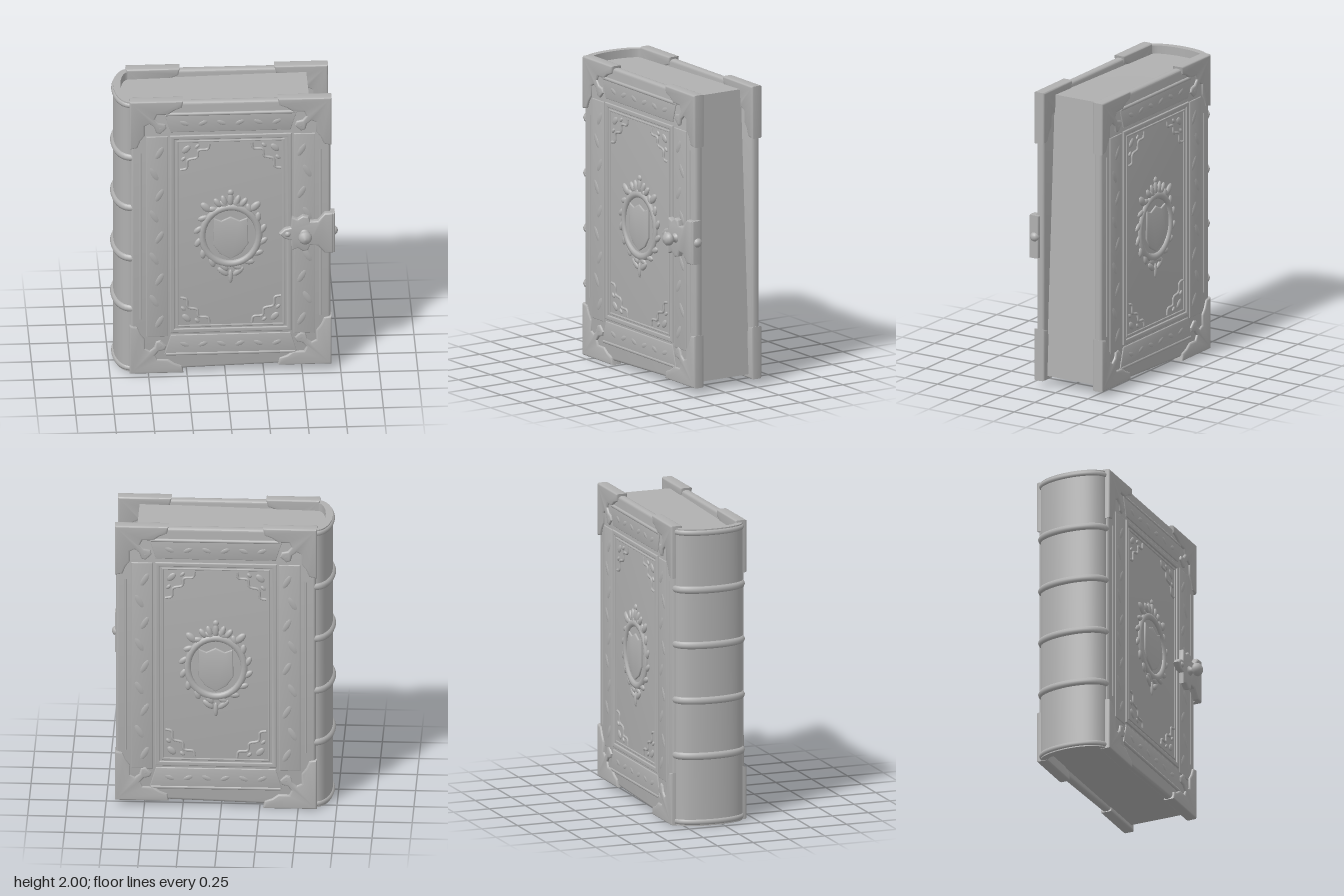
import * as THREE from 'three';
import { toCreasedNormals } from 'three/addons/utils/BufferGeometryUtils.js';

const leather = new THREE.MeshStandardMaterial({ color: 0xb0b0b0 });
leather.name = 'plain grey';

function add(parent, name, geometry) {
  const mesh = new THREE.Mesh(geometry, leather);
  mesh.name = name;
  parent.add(mesh);
  return mesh;
}

const vecs = (pts) => pts.map(([x, y]) => new THREE.Vector2(x, y));

// Plate with rounded edges between z0 and z1; optional hole outline
function plate(pts, z0, z1, bevel, hole) {
  const shape = new THREE.Shape(vecs(pts));
  if (hole) shape.holes.push(new THREE.Path(vecs(hole)));
  const g = new THREE.ExtrudeGeometry(shape, {
    depth: z1 - z0 - 2 * bevel, bevelThickness: bevel, bevelSize: bevel,
    bevelOffset: -bevel, bevelSegments: 3, curveSegments: 8,
  });
  g.translate(0, 0, z0 + bevel);
  return toCreasedNormals(g, 0.7);
}

const rect = (x0, y0, x1, y1) => [[x0, y0], [x1, y0], [x1, y1], [x0, y1]];

function frame(parent, name, x, y0, y1, w, z1) {
  add(parent, name, plate(rect(-x, y0, x, y1), 0.05, z1, 0.006,
    rect(-x + w, y0 + w, x - w, y1 - w)));
}

function tube(parent, name, pts, r) {
  const curve = new THREE.CatmullRomCurve3(pts.map((p) => new THREE.Vector3(...p)));
  add(parent, name, new THREE.TubeGeometry(curve, 28, r, 8));
}

// Flattened ornamental bump on the cover face
function bump(parent, name, x, y, rx, ry, angle = 0, rz = 0.013) {
  const m = add(parent, name, new THREE.SphereGeometry(1, 14, 8));
  m.position.set(x, y, 0.06);
  m.scale.set(rx, ry, rz);
  m.rotation.z = angle;
}

// Corner fitting, measured inward from the corner point
const half = [[0.35, 0], [0.34, 0.05], [0.29, 0.07], [0.25, 0.1], [0.18, 0.1], [0.165, 0.13], [0.19, 0.16], [0.23, 0.17], [0.24, 0.2]];
const cornerOutline = [[0, 0], ...half, ...half.map(([a, b]) => [b, a]).reverse()];

function makeMedallion(cover) {
  const g = new THREE.Group();
  g.name = 'medallion';
  g.position.y = 1;
  cover.add(g);
  const ring = add(g, 'medallionRing', new THREE.TorusGeometry(0.185, 0.022, 8, 40));
  ring.position.z = 0.06;
  ring.scale.set(1, 1.12, 0.75);
  const shield = [[-0.11, 0.13], [-0.06, 0.11], [0, 0.14], [0.06, 0.11], [0.11, 0.13], [0.115, -0.06], [0.07, -0.13], [0, -0.17], [-0.07, -0.13], [-0.115, -0.06]];
  add(g, 'shield', plate(shield, 0.05, 0.071, 0.007));
  // scroll leaves around the ring
  for (let i = 0; i < 16; i++) {
    const a = (i + 0.5) / 16 * Math.PI * 2;
    bump(g, 'scrollLeaf', 0.215 * Math.cos(a), 0.235 * Math.sin(a), 0.036, 0.02, a + 0.9, 0.014);
  }
  // crown and lower tip
  for (const k of [-2, -1, 0, 1, 2])
    bump(g, 'crownLeaf', k * 0.042, 0.265 - Math.abs(k) * 0.012, 0.02, 0.05 - Math.abs(k) * 0.006, -k * 0.3, 0.016);
  bump(g, 'crownTip', 0, 0.315, 0.02, 0.022);
  for (const s of [-1, 1]) {
    bump(g, 'upperScroll', s * 0.16, 0.21, 0.045, 0.025, s * 0.8, 0.016);
    bump(g, 'lowerLeaf', s * 0.05, -0.265, 0.045, 0.02, s * 0.7, 0.014);
  }
  bump(g, 'lowerTip', 0, -0.3, 0.016, 0.05);
}

// Cover board facing +z; slope tells which side has the higher lower edge
function makeCover(name, slope) {
  const cover = new THREE.Group();
  cover.name = name;
  const W = 0.65;
  const bottom = (x) => 0.03 + slope * 0.02 * x / W;
  add(cover, 'board', plate([[-W, bottom(-W) + 0.008], [W, bottom(W) + 0.008], [W, 1.985], [-W, 1.985]], 0.002, 0.06, 0.02));

  // corner fittings
  for (const sx of [-1, 1]) for (const top of [false, true]) {
    const x0 = sx * 0.657, y0 = top ? 2 : bottom(sx * W) - 0.008, sy = top ? -1 : 1;
    add(cover, 'cornerFitting', plate(cornerOutline.map(([a, b]) => [x0 - sx * a, y0 + sy * b]), -0.004, 0.073, 0.012));
    bump(cover, 'cornerStud', x0 - sx * 0.2, y0 + sy * 0.2, 0.03, 0.03, 0, 0.014);
  }

  // side and end bands with scroll relief
  for (const s of [-1, 1]) {
    const side = [[0.41, 0.27], [0.55, 0.27], [0.55, 1.74], [0.41, 1.74]].map(([x, y]) => [s * x, y]);
    add(cover, 'sideBand', plate(side, 0.05, 0.066, 0.005));
    for (let i = 0; i < 9; i++)
      bump(cover, 'bandScroll', s * (0.48 + (i % 2 ? 0.018 : -0.018)), 0.38 + i * 0.155, 0.024, 0.062, (i % 2 ? 1 : -1) * 0.5, 0.0105);
    tube(cover, 'hingeBead', [[s * 0.585, 0.4, 0.058], [s * 0.585, 1, 0.058], [s * 0.585, 1.62, 0.058]], 0.008);
  }
  for (const [inner, outer] of [[1.77, 1.9], [0.28, 0.14]]) {
    add(cover, 'endBand', plate([[-0.39, inner], [0.39, inner], [0.43, outer], [-0.43, outer]], 0.05, 0.067, 0.005));
    tube(cover, 'endBead', [[-0.42, outer, 0.06], [0, outer, 0.06], [0.42, outer, 0.06]], 0.012);
    for (let i = 0; i < 6; i++)
      bump(cover, 'bandScroll', -0.3 + i * 0.12, (inner + outer) / 2, 0.045, 0.02, i % 2 ? 0.4 : -0.4, 0.0105);
  }

  // nested mouldings around the centre panel
  frame(cover, 'outerMoulding', 0.395, 0.295, 1.745, 0.03, 0.07);
  frame(cover, 'innerMoulding', 0.352, 0.335, 1.705, 0.014, 0.066);

  // curled ornaments in the panel corners
  for (const sx of [-1, 1]) for (const top of [false, true]) {
    const y0 = top ? 1.69 : 0.35, sy = top ? -1 : 1;
    const at = (a, b) => [sx * (0.338 - a), y0 + sy * b, 0.06];
    tube(cover, 'cornerScroll', [at(0.2, 0.01), at(0.19, 0.05), at(0.13, 0.06), at(0.12, 0.11), at(0.06, 0.13), at(0.05, 0.19), at(0.01, 0.2)], 0.009);
    for (const [a, b, r] of [[0.05, 0.05, 0.035], [0.12, 0.03, 0.02], [0.03, 0.12, 0.02]]) {
      const p = at(a, b);
      bump(cover, 'cornerLeaf', p[0], p[1], r, r * 0.6, sx * sy * 0.8, 0.009);
    }
  }
  makeMedallion(cover);
  return cover;
}

// Horizontal outline in (x, z) raised from y0 to y1
function upright(pts, y0, y1) {
  const shape = new THREE.Shape(vecs(pts.map(([x, z]) => [x, -z])));
  const g = new THREE.ExtrudeGeometry(shape, { depth: y1 - y0, bevelEnabled: false });
  g.rotateX(-Math.PI / 2);
  g.translate(0, y0, 0);
  return g;
}

// Rounded back, with depth and half-width
const MID = -0.06;
function backArc(x0, depth, halfWidth) {
  const pts = [];
  for (let i = 0; i <= 20; i++) {
    const a = (i / 20 - 0.5) * Math.PI;
    pts.push([x0 - depth * Math.pow(Math.cos(a), 0.9), MID + halfWidth * Math.sin(a)]);
  }
  return pts;
}

function makeClasp() {
  const clasp = new THREE.Group();
  clasp.name = 'clasp';
  const edge = [[0.35, 0], [0.385, 0.035], [0.425, 0.045], [0.43, 0.12], [0.47, 0.105], [0.505, 0.13], [0.54, 0.12], [0.55, 0.085], [0.6, 0.09], [0.645, 0.145], [0.7, 0.145]];
  const outline = [...edge, ...edge.slice(1).reverse().map(([x, y]) => [x, -y])];
  add(clasp, 'claspPlate', plate(outline, 0.19, 0.235, 0.01));
  add(clasp, 'claspReturn', plate(rect(0.68, -0.145, 0.712, 0.145), 0.16, 0.23, 0.01));
  const stem = [[0, 0.225], [0.038, 0.225], [0.03, 0.24], [0.019, 0.25], [0.02, 0.262], [0.038, 0.272], [0.045, 0.287], [0.04, 0.306], [0.024, 0.321], [0, 0.326]];
  const knob = add(clasp, 'claspKnob', new THREE.LatheGeometry(vecs(stem), 24));
  knob.rotation.x = Math.PI / 2;
  knob.position.x = 0.515;
  const ball = add(clasp, 'claspEndBall', new THREE.SphereGeometry(0.033, 16, 12));
  ball.position.set(0.7, 0, 0.19);
  const bead = add(clasp, 'claspBead', new THREE.SphereGeometry(0.022, 14, 10));
  bead.position.set(0.405, 0, 0.225);
  clasp.position.y = 1.02;
  return clasp;
}

export function createModel() {
  const book = new THREE.Group();
  book.name = 'book';

  const front = makeCover('frontCover', 1);
  front.position.set(0.035, 0, 0.131);
  const back = makeCover('backCover', -1);
  back.rotation.y = Math.PI;
  back.position.set(0.035, 0, -0.251);
  book.add(front, back);

  // page block: fore edge leans outward toward the bottom
  const pages = upright([...backArc(-0.6, 0.07, 0.195), [0.55, 0.135], [0.55, -0.255]], 0.07, 1.955);
  const p = pages.attributes.position;
  for (let i = 0; i < p.count; i++) {
    if (p.getX(i) > 0.5) p.setX(i, 0.55 + 0.1 * (1.955 - p.getY(i)) / 1.885);
    else if (p.getY(i) > 1) p.setY(i, 1.93);
  }
  pages.computeVertexNormals();
  add(book, 'pages', toCreasedNormals(pages, 0.6));

  // spine shell and raised bands
  const outer = backArc(-0.6, 0.115, 0.235);
  const inner = backArc(-0.6, 0.068, 0.19).reverse();
  add(book, 'spine', toCreasedNormals(upright([...outer, ...inner], 0.005, 1.985), 0.6));
  for (const y of [0.03, 0.47, 0.84, 1.21, 1.58, 1.96]) {
    const hub = y > 0.1 && y < 1.9;
    tube(book, hub ? 'spineBand' : 'spineCap',
      backArc(-0.6, 0.108, 0.225).map(([x, z]) => [x, y, z]), hub ? 0.027 : 0.02);
  }

  book.add(makeClasp());
  return book;
}
